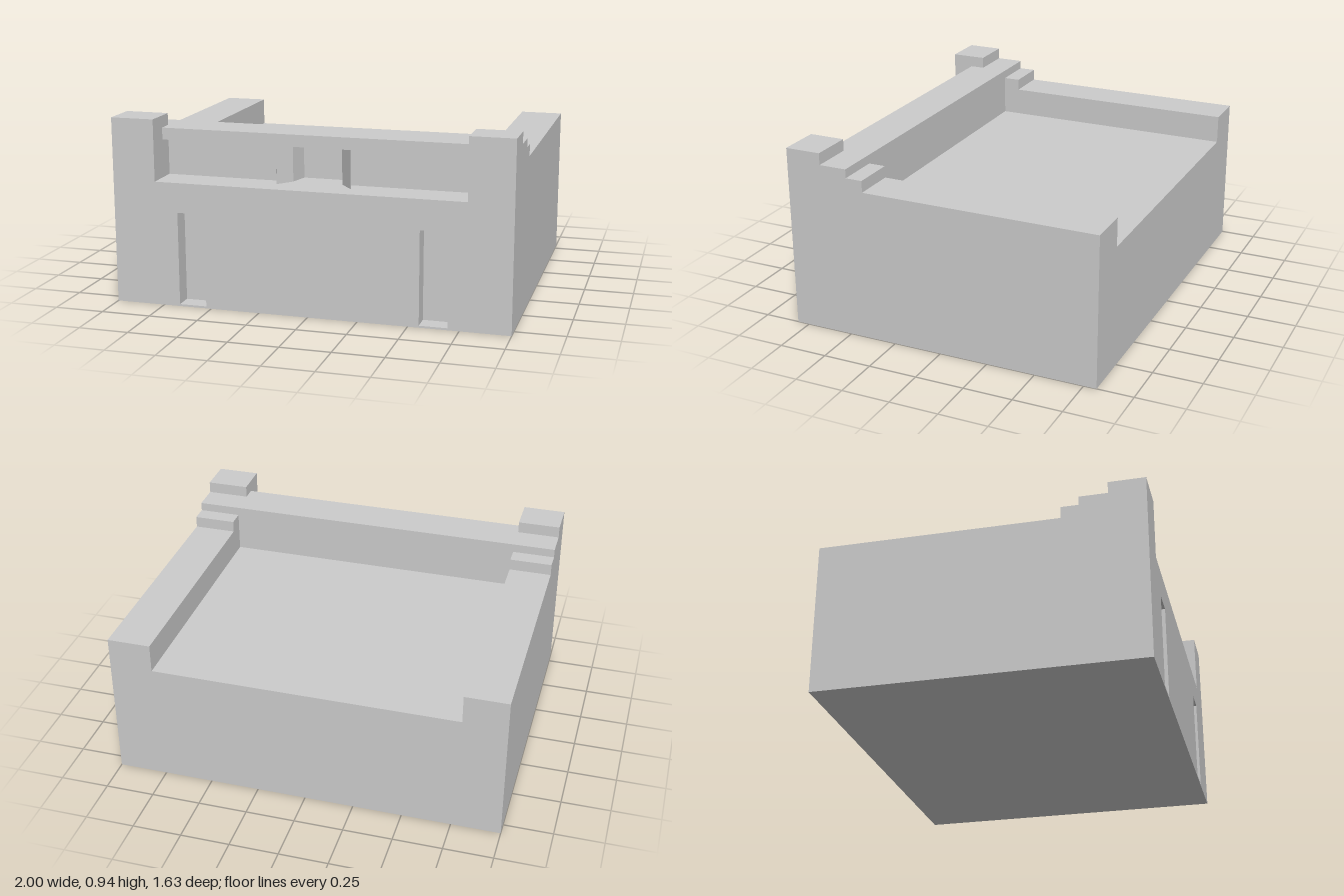
import * as THREE from 'three';

const material = new THREE.MeshStandardMaterial({ color: 0xcccccc, flatShading: true });
const FLOOR = 0.63, INNER = 0.78, FRONT = 0.815, DOOR_BACK = 0.725;

function addMesh(group, name, geometry) {
  const mesh = new THREE.Mesh(geometry, material);
  mesh.name = name;
  group.add(mesh);
  return mesh;
}

// Box given by its minimum and maximum on each axis
function span(x0, x1, y0, y1, z0, z1) {
  return new THREE.BoxGeometry(x1 - x0, y1 - y0, z1 - z0)
    .translate((x0 + x1) / 2, (y0 + y1) / 2, (z0 + z1) / 2);
}

const outline = (points) => new THREE.Shape(points.map(([x, y]) => new THREE.Vector2(x, y)));
const extrude = (shape, depth) => new THREE.ExtrudeGeometry(shape, { depth, bevelEnabled: false });

export function createModel() {
  const model = new THREE.Group();
  model.name = 'flatRoofedBuilding';

  // Solid block below roof level
  addMesh(model, 'mainBlock', span(-1, 1, 0, FLOOR, -FRONT, DOOR_BACK));

  // Facade with two narrow door recesses
  const facade = outline([[-1, 0], [1, 0], [1, FLOOR], [-1, FLOOR]]);
  for (const [x0, x1] of [[-0.665, -0.525], [0.555, 0.695]]) {
    const door = new THREE.Path();
    door.moveTo(x0, 0.01).lineTo(x0, 0.48).lineTo(x1, 0.48).lineTo(x1, 0.01).closePath();
    facade.holes.push(door);
  }
  addMesh(model, 'facade', extrude(facade, FRONT - DOOR_BACK).translate(0, 0, DOOR_BACK));

  // Side parapets stepping up to the front corner pillars, drawn as (z, y)
  const parapet = outline([
    [-FRONT, FLOOR], [FRONT, FLOOR], [FRONT, 0.94], [0.63, 0.94], [0.63, 0.88],
    [0.487, 0.88], [0.487, 0.835], [0.4, 0.835], [0.4, 0.775], [-FRONT, 0.775],
  ]);
  for (const [name, x] of [['leftParapet', 1], ['rightParapet', -INNER]]) {
    addMesh(model, name, extrude(parapet, 1 - INNER).rotateY(-Math.PI / 2).translate(x, 0, 0));
  }

  // Balcony wall in plan, with a central recess and splayed jamb wings
  const half = [[0.1, 0.53], [0.125, 0.63], [0.187, 0.705], [0.189, 0.7], [0.135, 0.63], [INNER, 0.63], [INNER, 0.487]];
  const mirrored = half.map(([x, z]) => [-x, z]).reverse();
  const plan = [...half, ...mirrored].map(([x, z]) => [x, -z]);
  addMesh(model, 'balconyWall', extrude(outline(plan), 0.19).rotateX(-Math.PI / 2).translate(0, FLOOR, 0));

  // Overhanging beam above the balcony
  addMesh(model, 'lintel', span(-INNER, INNER, 0.82, 0.88, 0.487, 0.705));

  return model;
}
